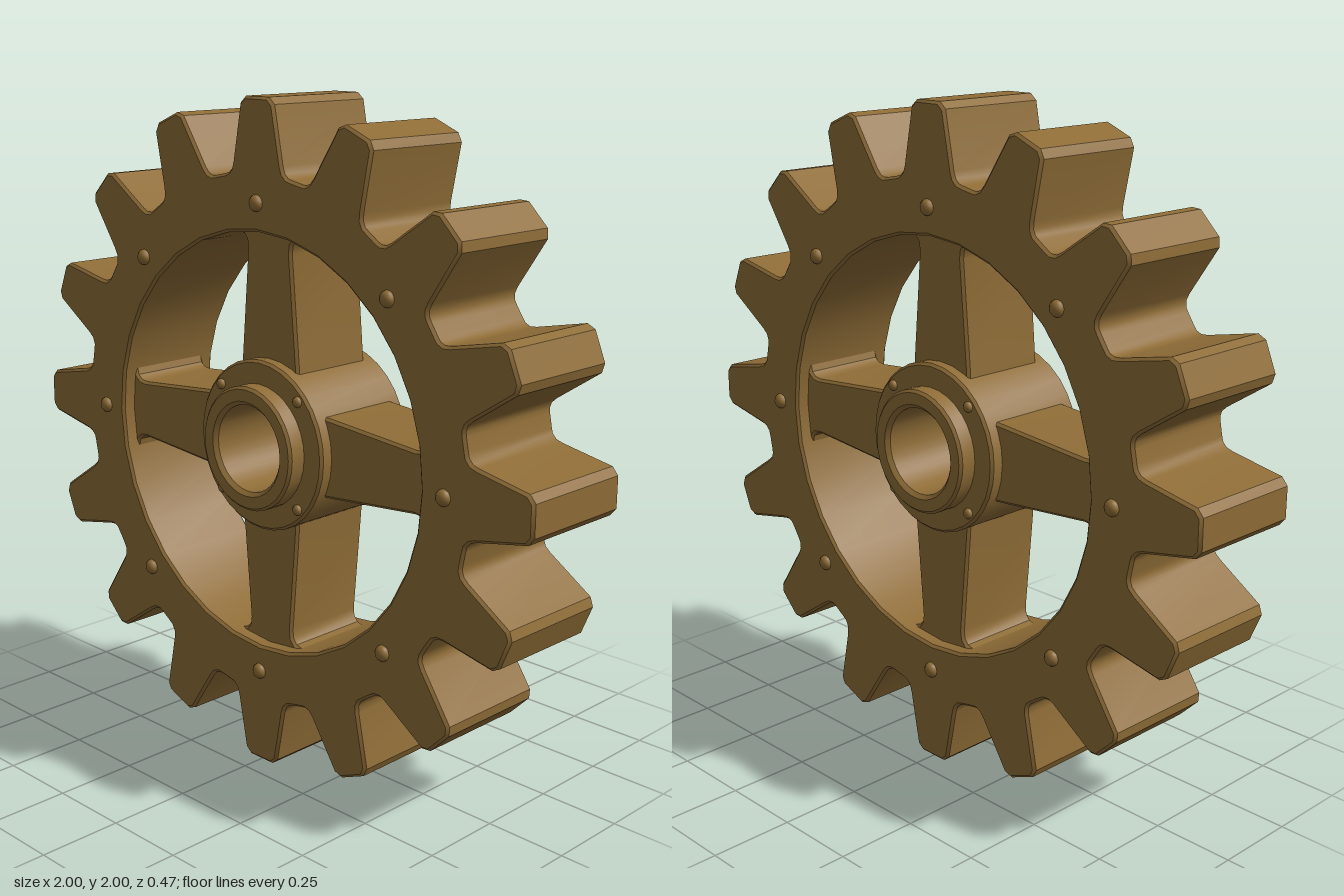
import * as THREE from 'three';
import { toCreasedNormals } from 'three/addons/utils/BufferGeometryUtils.js';

const TEETH = 16;
const CREASE = 0.6;

// Extrude a shape along z, centred, with a small chamfer that stays inside the outline
function plate(shape, halfDepth, bevel) {
  const geo = new THREE.ExtrudeGeometry(shape, {
    depth: 2 * (halfDepth - bevel), bevelEnabled: true, bevelSize: bevel,
    bevelThickness: bevel, bevelOffset: -bevel, bevelSegments: 1, curveSegments: 1,
  });
  geo.translate(0, 0, -(halfDepth - bevel));
  return toCreasedNormals(geo, CREASE);
}

// Toothed outline with a round opening
function gearShape() {
  const half = [[0.135, 0.779], [0.12, 0.783], [0.107, 0.795], [0.1, 0.815], [0.068, 0.98], [0.046, 0.999]];
  const tooth = [...half, ...half.map(([x, y]) => [-x, y]).reverse()];
  const points = [];
  for (let i = 0; i < TEETH; i++) {
    const a = (i / TEETH) * Math.PI * 2;
    for (const [x, y] of tooth) points.push(new THREE.Vector2(x, y).rotateAround(new THREE.Vector2(), a));
  }
  const shape = new THREE.Shape(points);
  const hole = [];
  for (let i = 0; i < 32; i++) {
    const a = -(i / 32) * Math.PI * 2;
    hole.push(new THREE.Vector2(0.625 * Math.cos(a), 0.625 * Math.sin(a)));
  }
  shape.holes.push(new THREE.Path(hole));
  return shape;
}

// Tapered spoke pointing up, flared where it meets the rim
function spokeShape() {
  const right = [[0.12, 0.2], [0.117, 0.25], [0.09, 0.565], [0.093, 0.59], [0.106, 0.606], [0.135, 0.614], [0.135, 0.635]];
  const left = right.map(([x, y]) => [-x, y]).reverse();
  return new THREE.Shape([...right, ...left].map(([x, y]) => new THREE.Vector2(x, y)));
}

export function createModel() {
  const model = new THREE.Group();
  model.name = 'gearWheel';
  const bronze = new THREE.MeshStandardMaterial({ color: 0x8f6d37 });
  bronze.name = 'bronze';

  const wheel = new THREE.Group();
  wheel.name = 'wheel';
  wheel.position.y = 1;
  model.add(wheel);

  const add = (name, geo) => {
    const mesh = new THREE.Mesh(geo, bronze);
    mesh.name = name;
    wheel.add(mesh);
    return mesh;
  };

  // Toothed rim
  add('toothedRim', plate(gearShape(), 0.185, 0.008));

  // Four spokes, set back from the rim faces
  const spokeGeo = plate(spokeShape(), 0.14, 0.008);
  for (let i = 0; i < 4; i++) add('spoke', spokeGeo).rotation.z = (i * Math.PI) / 2;

  // Hub with raised collars and a chamfered bore
  const front = [[0.255, 0.172], [0.247, 0.18], [0.185, 0.18], [0.185, 0.227], [0.177, 0.235], [0.142, 0.235], [0.13, 0.223]];
  const back = front.map(([r, z]) => [r, -z]).reverse();
  const profile = [...back, ...front, back[0]].map(([r, z]) => new THREE.Vector2(r, z));
  const hubGeo = toCreasedNormals(new THREE.LatheGeometry(profile, 32), CREASE);
  hubGeo.rotateX(Math.PI / 2);
  add('hub', hubGeo);

  // Domed rivets on both faces
  const rivets = (name, count, start, ring, radius, z) => {
    const dome = new THREE.SphereGeometry(radius, 12, 8);
    dome.scale(1, 1, 0.85);
    for (let i = 0; i < count; i++) {
      const a = start + (i / count) * Math.PI * 2;
      for (const side of [1, -1]) {
        add(name, dome).position.set(ring * Math.cos(a), ring * Math.sin(a), side * z);
      }
    }
  };
  rivets('rimRivet', 8, 0, 0.706, 0.024, 0.185);
  rivets('hubRivet', 4, Math.PI / 4, 0.226, 0.016, 0.182);

  return model;
}
